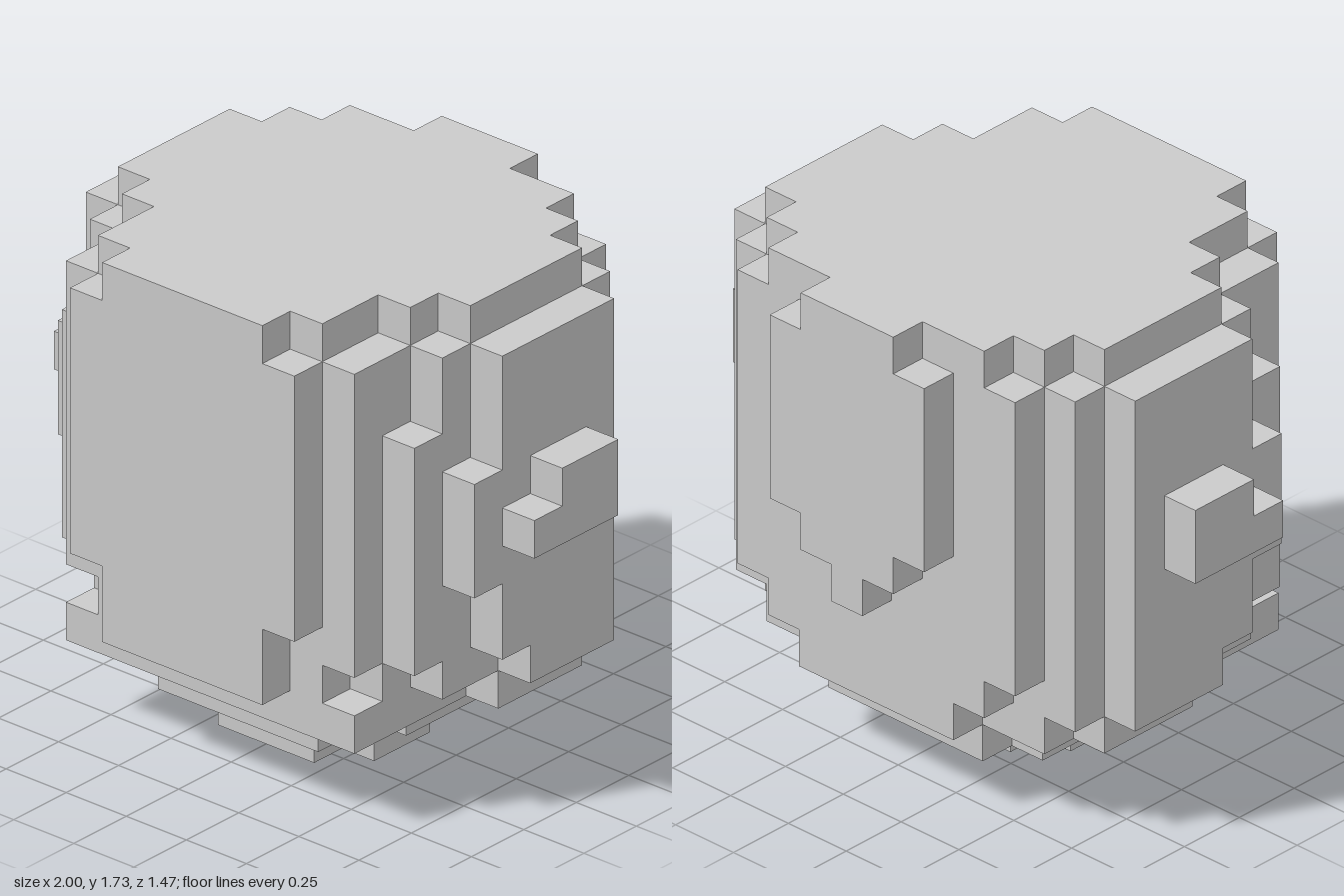
import * as THREE from 'three';

const UNIT = 2 / 15;

// Each layer from bottom to top: half-widths in cells, row by row from back to front (-1 = empty)
const LAYERS = [
  [-1, -1, -1, -1, 1, 2, 2, 1, -1, -1, -1],
  [-1, -1, 2, 3, 3, 3, 3, 2, 2, -1, -1],
  [-1, 2, 4, 5, 5, 5, 4, 4, 4, 4, -1],
  [-1, 3, 5, 6, 6, 6, 5, 5, 4, 3, 2],
  [-1, 4, 5, 6, 6, 6, 6, 5, 5, 4, 2],
  [0, 4, 5, 6, 6, 6, 6, 5, 5, 4, 3],
  [1, 4, 5, 6, 6, 6, 6, 6, 5, 4, 3],
];
const upper = (back, second, third) => [back, 4, 5, 6, 6, 6, 6, second, third, 4, 3];
LAYERS.push(upper(2, 6, 5), upper(2, 6, 5), upper(2, 5, 5), upper(2, 5, 4), upper(2, 5, 4));
LAYERS.push([1, 3, 4, 5, 5, 5, 5, 4, 3, 3, 2]);

const inHead = (x, y, z) => Math.abs(x) <= (LAYERS[y]?.[z + 5] ?? -1);
// Ears: a lower row of three cells and an upper row of two
const inEar = (x, y, z) =>
  Math.abs(x) === 7 && z >= -1 && ((y === 7 && z <= 1) || (y === 8 && z <= 0));
const solid = (x, y, z) => inHead(x, y, z) || inEar(x, y, z);

// Builds only the exposed cell faces of the cells chosen by a test
function cellGeometry(test) {
  const positions = [], normals = [];
  const corners = [[-1, -1], [1, -1], [1, 1], [-1, -1], [1, 1], [-1, 1]];
  for (let y = 0; y < 13; y++)
    for (let z = -5; z <= 5; z++)
      for (let x = -7; x <= 7; x++) {
        if (!test(x, y, z)) continue;
        for (let axis = 0; axis < 3; axis++)
          for (const sign of [-1, 1]) {
            const n = [0, 0, 0];
            n[axis] = sign;
            if (solid(x + n[0], y + n[1], z + n[2])) continue;
            for (const [a, b] of corners) {
              const p = [x, y + 0.5, z];
              p[axis] += sign / 2;
              p[(axis + 1) % 3] += (a * sign) / 2;
              p[(axis + 2) % 3] += b / 2;
              positions.push(...p.map((v) => v * UNIT));
              normals.push(...n);
            }
          }
      }
  const geometry = new THREE.BufferGeometry();
  geometry.setAttribute('position', new THREE.Float32BufferAttribute(positions, 3));
  geometry.setAttribute('normal', new THREE.Float32BufferAttribute(normals, 3));
  return geometry;
}

export function createModel() {
  const group = new THREE.Group();
  group.name = 'blockHead';
  const material = new THREE.MeshStandardMaterial({ color: 0xcccccc, flatShading: true });
  const add = (name, test) => {
    const mesh = new THREE.Mesh(cellGeometry(test), material);
    mesh.name = name;
    group.add(mesh);
  };
  add('head', inHead);
  add('leftEar', (x, y, z) => x > 0 && inEar(x, y, z));
  add('rightEar', (x, y, z) => x < 0 && inEar(x, y, z));
  return group;
}
